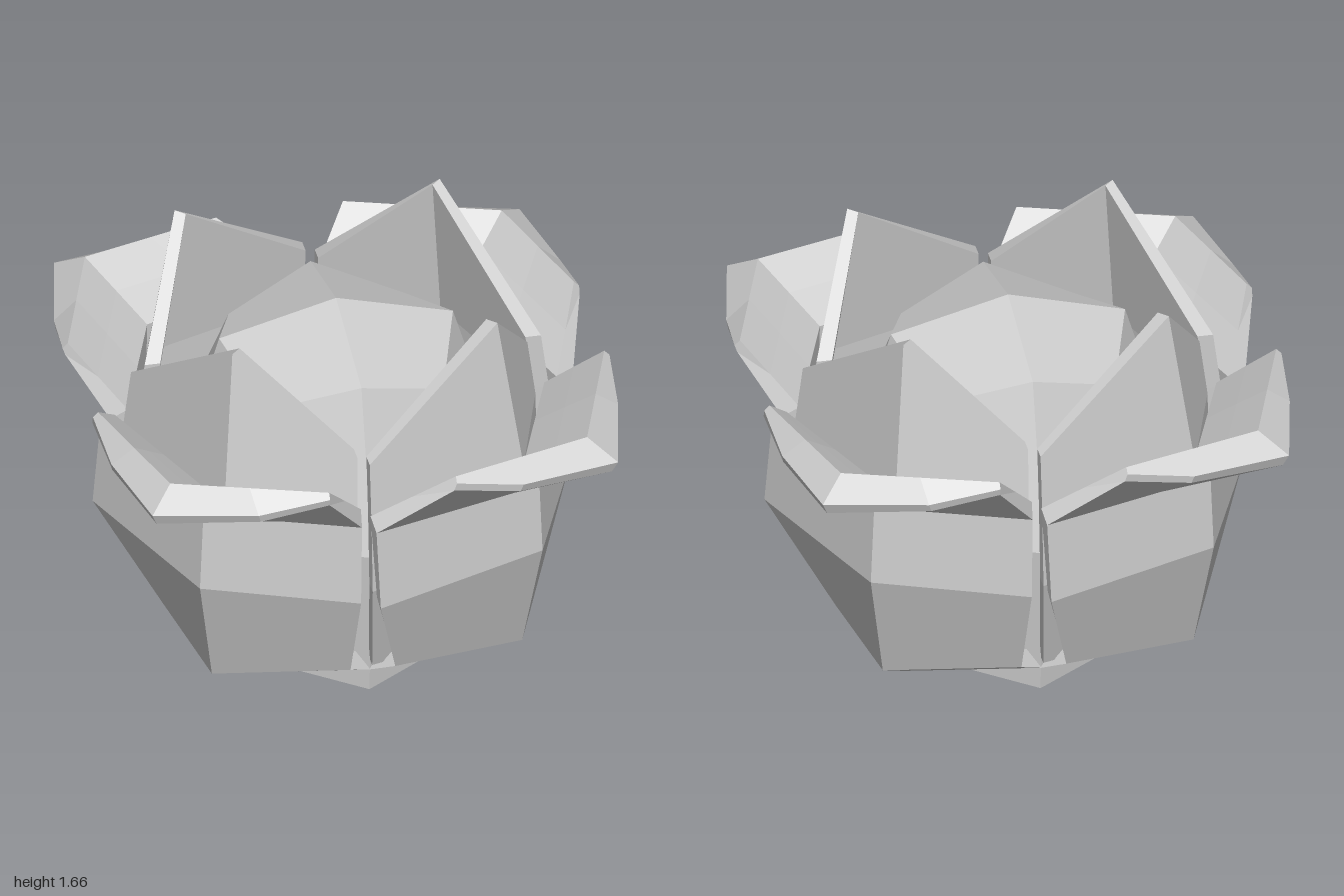
import * as THREE from 'three';

const leafGrey = new THREE.MeshStandardMaterial({ color: 0xcccccc });
leafGrey.name = 'leafGrey';

// Geometry from quads (corners counter-clockwise from outside), one flat normal per quad
function fromQuads(quads) {
  const pos = [], nor = [];
  const p = new THREE.Vector3(), q = new THREE.Vector3();
  for (const [a, b, c, d] of quads) {
    pos.push(...a, ...b, ...c, ...a, ...c, ...d);
    p.set(c[0] - a[0], c[1] - a[1], c[2] - a[2]);
    q.set(d[0] - b[0], d[1] - b[1], d[2] - b[2]);
    p.cross(q).normalize();
    for (let i = 0; i < 6; i++) nor.push(p.x, p.y, p.z);
  }
  const g = new THREE.BufferGeometry();
  g.setAttribute('position', new THREE.Float32BufferAttribute(pos, 3));
  g.setAttribute('normal', new THREE.Float32BufferAttribute(nor, 3));
  return g;
}

// Row of [left, middle, right] widened to five points with halfway points
const mid = (a, b) => a.map((v, i) => (v + b[i]) / 2);
const widen = row => row.length === 5 ? row
  : [row[0], mid(row[0], row[1]), row[1], mid(row[1], row[2]), row[2]];

// Thick petal between an outer and an inner sheet of rows, its bottom and top rims optional
function petalGeometry(outer, inner, bottomRim, topRim) {
  const quads = [];
  const rows = outer.length - 1, cols = outer[0].length - 1;
  for (let r = 0; r < rows; r++) {
    for (let c = 0; c < cols; c++) {
      quads.push([outer[r][c], outer[r][c + 1], outer[r + 1][c + 1], outer[r + 1][c]]);
      quads.push([inner[r][c + 1], inner[r][c], inner[r + 1][c], inner[r + 1][c + 1]]);
    }
    // side rims
    quads.push([inner[r][0], outer[r][0], outer[r + 1][0], inner[r + 1][0]]);
    quads.push([outer[r][cols], inner[r][cols], inner[r + 1][cols], outer[r + 1][cols]]);
  }
  for (let c = 0; c < cols; c++) {
    if (bottomRim) quads.push([inner[0][c], inner[0][c + 1], outer[0][c + 1], outer[0][c]]);
    if (topRim) quads.push([outer[rows][c], outer[rows][c + 1], inner[rows][c + 1], inner[rows][c]]);
  }
  return fromQuads(quads);
}

// Rounded eight-sided core whose caps are four quads meeting at a point
function coreGeometry() {
  // each ring: radius and height on the axes, then on the diagonals
  const rings = [
    [0.59, 0.14, 0.6, 0.235],
    [0.64, 0.76, 0.69, 0.78],
    [0.45, 1.4, 0.48, 1.28],
  ].map(([ra, ya, rd, yd]) => Array.from({ length: 8 }, (_, i) => {
    const a = i * Math.PI / 4, r = i % 2 ? rd : ra;
    return [r * Math.sin(a), i % 2 ? yd : ya, r * Math.cos(a)];
  }));
  const quads = [];
  for (let i = 0; i < 8; i++) {
    const j = (i + 1) % 8, k = (i + 2) % 8;
    for (let r = 0; r < 2; r++) quads.push([rings[r][i], rings[r][j], rings[r + 1][j], rings[r + 1][i]]);
    if (i % 2 === 0) {
      quads.push([[0, 1.52, 0], rings[2][i], rings[2][j], rings[2][k]]);
      quads.push([[0, 0, 0], rings[0][k], rings[0][j], rings[0][i]]);
    }
  }
  return fromQuads(quads);
}

export function createModel() {
  const model = new THREE.Group();
  model.name = 'leafyBud';

  const core = new THREE.Mesh(coreGeometry(), leafGrey);
  core.name = 'core';
  model.add(core);

  // Outer petal: swelling wall, its right edge tucked in behind the next petal
  const neckOuter = [[-0.04, 1.04, 0.9], [0.64, 1.04, 0.65], [0.85, 1.04, 0.085]];
  const neckInner = [[-0.05, 1.08, 0.84], [0.595, 1.1, 0.605], [0.785, 1.08, 0.075]];
  const outerPetal = petalGeometry([
    [[0, 0.235, 0.6], [0.5, 0.225, 0.5], [0.6, 0.235, 0]],
    [[0.08, 0.29, 0.68], [0.585, 0.29, 0.605], [0.67, 0.29, 0.09]],
    [[-0.03, 0.72, 0.93], [0.65, 0.72, 0.665], [0.88, 0.72, 0.095]],
    neckOuter,
  ], [
    [[0.02, 0.3, 0.56], [0.47, 0.28, 0.47], [0.56, 0.3, 0.02]],
    [[0.08, 0.33, 0.62], [0.54, 0.33, 0.55], [0.61, 0.33, 0.09]],
    [[-0.03, 0.73, 0.86], [0.6, 0.73, 0.61], [0.815, 0.73, 0.09]],
    neckInner,
  ], true, false);

  // Lip of the outer petal, curling outward and down at its edge
  const outerPetalLip = petalGeometry([
    neckOuter,
    [[0.24, 1.25, 0.99], [0.5, 1.2, 0.97], [0.87, 1.18, 0.88], [0.97, 1.2, 0.5], [0.99, 1.25, 0.24]],
    [[0.25, 1.28, 0.99], [0.51, 1.23, 0.975], [0.89, 1.23, 0.9], [0.975, 1.23, 0.51], [1.0, 1.28, 0.24]],
  ].map(widen), [
    neckInner,
    [[0.1, 1.19, 0.905], [0.692, 1.2, 0.707], [0.882, 1.19, 0.157]],
    [[0.25, 1.3, 0.97], [0.79, 1.3, 0.81], [0.98, 1.3, 0.24]],
  ].map(widen), false, true);

  // Inner petal: upright wall rising to a point
  const innerSheet = [
    [[0, 0.28, 0.64], [0.5, 0.28, 0.5], [0.61, 0.28, 0.08]],
    [[-0.035, 0.72, 0.81], [0.58, 0.72, 0.57], [0.755, 0.72, 0.085]],
    [[-0.04, 1.04, 0.81], [0.6, 1.04, 0.56], [0.75, 1.04, 0.08]],
    [[-0.04, 1.27, 0.78], [0.51, 1.66, 0.51], [0.72, 1.27, 0.075]],
  ];
  const inward = [[0, -0.06], [-0.035, -0.035], [-0.06, 0]];
  const innerPetal = petalGeometry(innerSheet, innerSheet.map(row =>
    row.map(([x, y, z], c) => [x + inward[c][0], y, z + inward[c][1]])), true, true);

  // Four of each petal around the core
  const parts = { outerPetal, outerPetalLip, innerPetal };
  for (let i = 0; i < 4; i++) {
    for (const [name, geometry] of Object.entries(parts)) {
      const petal = new THREE.Mesh(geometry, leafGrey);
      petal.name = name + (i + 1);
      petal.rotation.y = i * Math.PI / 2;
      model.add(petal);
    }
  }
  return model;
}
